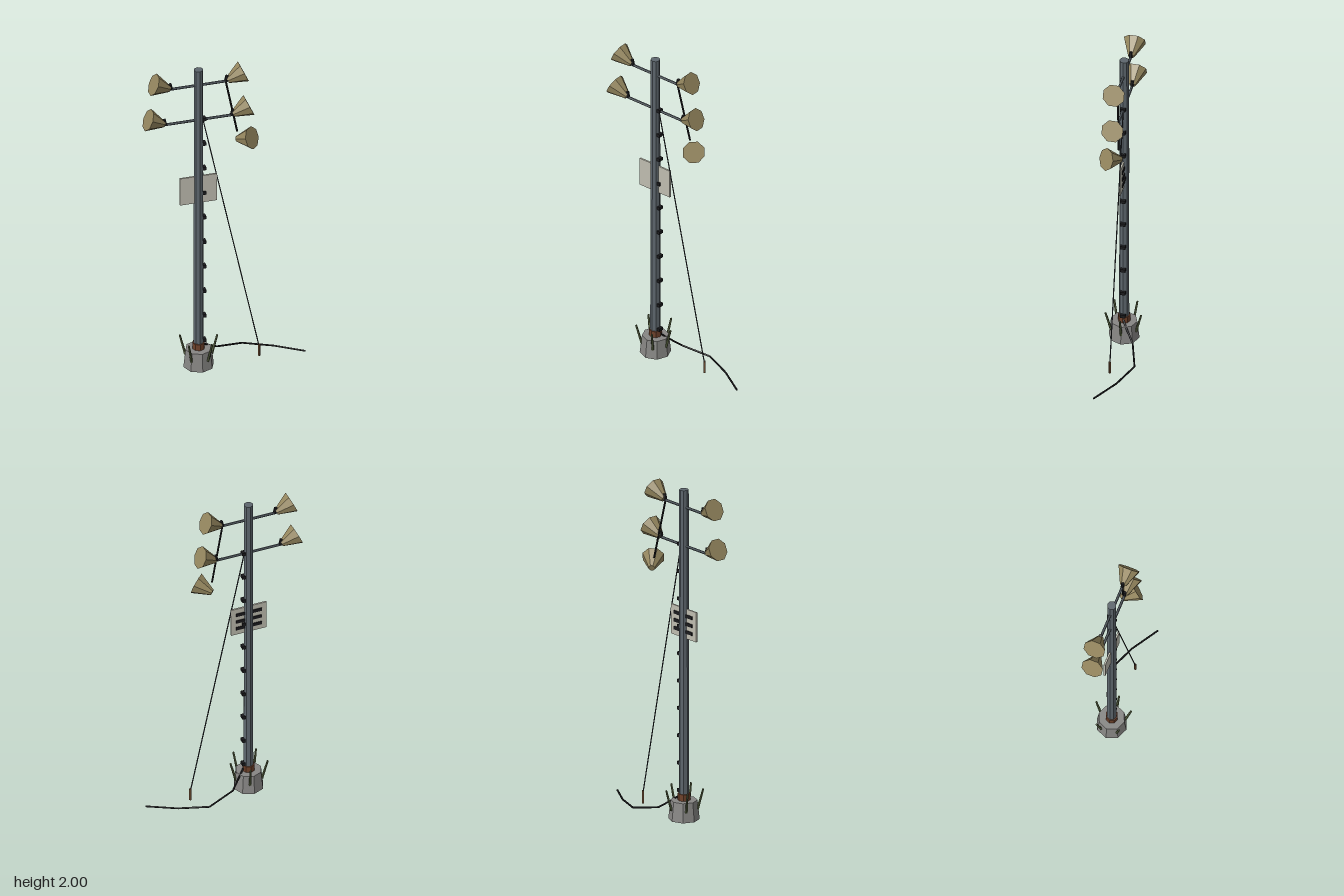
import * as THREE from 'three';

const mat = (name, color) => {
  const m = new THREE.MeshStandardMaterial({ color, flatShading: true });
  m.name = name;
  return m;
};

export function createModel() {
  const model = new THREE.Group();
  model.name = 'loudspeakerPole';
  const steel = mat('steel grey', 0x5d666d);
  const concrete = mat('concrete grey', 0x878684);
  const rust = mat('rust brown', 0x6e412a);
  const horn = mat('horn tan', 0x94865e);
  const board = mat('board off-white', 0xbfbdb0);
  const black = mat('rubber black', 0x1b1b1d);
  const wire = mat('wire dark grey', 0x34393d);
  const grass = mat('grass green', 0x55603f);
  const wood = mat('peg brown', 0x6f4d31);

  const PX = -0.15, PZ = 0.013; // pole axis
  const v = (x, y, z) => new THREE.Vector3(x, y, z);

  const add = (name, geo, material, x = 0, y = 0, z = 0) => {
    const m = new THREE.Mesh(geo, material);
    m.name = name;
    m.position.set(x, y, z);
    model.add(m);
    return m;
  };
  const box = (name, material, w, h, d, x, y, z) =>
    add(name, new THREE.BoxGeometry(w, h, d), material, x, y, z);

  // Straight rod from a to b
  const rod = (name, material, a, b, ra, rb = ra, sides = 6) => {
    const dir = b.clone().sub(a);
    const m = add(name, new THREE.CylinderGeometry(rb, ra, dir.length(), sides), material);
    m.position.copy(a).add(b).multiplyScalar(0.5);
    m.quaternion.setFromUnitVectors(v(0, 1, 0), dir.normalize());
    return m;
  };

  // Eight-sided horn with its wide mouth centred on p and facing dir
  const addHorn = (name, p, dir) => {
    const geo = new THREE.CylinderGeometry(0.067, 0.019, 0.105, 8);
    geo.rotateY(Math.PI / 8).translate(0, -0.0525, 0).rotateX(Math.PI / 2);
    const m = add(name, geo, horn, p.x, p.y, p.z);
    m.lookAt(p.clone().add(dir));
  };

  // Footing, collar and pole
  add('footing', new THREE.CylinderGeometry(0.078, 0.091, 0.115, 8), concrete, PX, 0.0575, PZ);
  add('collar', new THREE.CylinderGeometry(0.037, 0.037, 0.045, 8), rust, PX, 0.1325, PZ);
  add('pole', new THREE.CylinderGeometry(0.0275, 0.03, 1.9, 8), steel, PX, 1.05, PZ);

  // Grass stalks leaning out around the footing
  [0, 62, 136, 210, 286].forEach((deg) => {
    const a = THREE.MathUtils.degToRad(deg), c = Math.cos(a), s = Math.sin(a);
    rod('stalk', grass, v(PX + 0.079 * c, 0.06, PZ + 0.079 * s),
      v(PX + 0.112 * c, 0.185, PZ + 0.112 * s), 0.008, 0.006, 5);
  });

  // Climbing rungs up one side
  for (let i = 1; i <= 10; i++) {
    box('rung', black, 0.03, 0.02, 0.03, PX + 0.028, i * 0.1663, PZ);
  }

  // Two cross arms, each with a mirrored pair of horns
  const tilt = THREE.MathUtils.degToRad(25);
  [[1.895, 0.175, 0.269, 1.943], [1.66, 0.21, 0.302, 1.709]].forEach(([y, half, mouthX, mouthY]) => {
    rod('crossArm', steel, v(PX - half, y, PZ), v(PX + half, y, PZ), 0.008);
    [-1, 1].forEach((side) => {
      const dir = v(side * Math.cos(tilt), Math.sin(tilt), 0);
      const mouth = v(PX + side * mouthX, mouthY, PZ);
      addHorn('horn', mouth, dir);
      // Mounting bracket between arm and horn
      rod('hornBracket', black, v(PX + side * (half - 0.012), y, PZ),
        v(PX + side * (half - 0.004), y + 0.036, PZ), 0.01);
    });
  });

  // Fallen horn hanging from a loose cable
  rod('hangingCable', black, v(0.013, 1.895, PZ), v(0.088, 1.53, -0.01), 0.006);
  addHorn('hangingHorn', v(0.161, 1.505, 0.047), v(0.65, 0.35, 0.67));

  // Notice board with printed bars on its back
  const boardZ = PZ, boardD = 0.01;
  box('noticeBoard', board, 0.222, 0.18, boardD, PX - 0.001, 1.19, boardZ);
  for (let i = -1; i <= 1; i++) {
    box('boardBar', black, 0.16, 0.02, 0.006, PX, 1.19 + i * 0.048, boardZ - boardD / 2 - 0.002);
  }

  // Guy wire and its ground peg
  rod('guyWire', wire, v(PX + 0.026, 1.66, PZ), v(0.214, 0.06, PZ), 0.0035);
  add('groundPeg', new THREE.CylinderGeometry(0.008, 0.008, 0.078, 4), wood, 0.214, 0.039, PZ);

  // Power cable trailing across the ground
  const path = [
    v(-0.122, 0.14, 0.013), v(-0.09, 0.11, -0.01), v(-0.018, 0.053, -0.068),
    v(0.149, 0.019, -0.118), v(0.318, 0.011, -0.051), v(0.48, 0.006, 0.047),
  ];
  for (let i = 1; i < path.length; i++) rod('groundCable', black, path[i - 1], path[i], 0.0055);

  return model;
}
